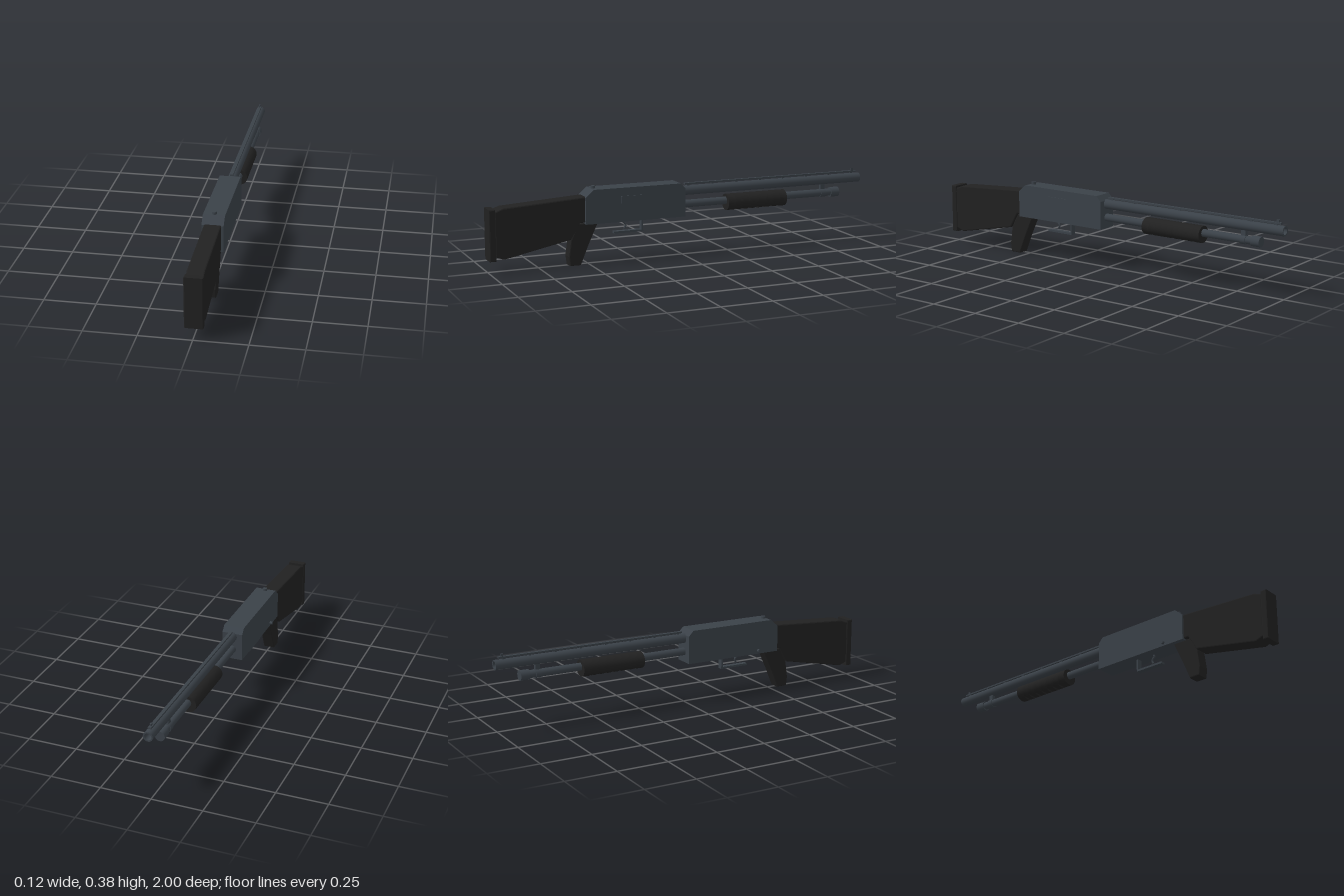
import * as THREE from 'three';

const CX = 0.005; // centre line; the side pin sticks out to the right

export function createModel() {
  const model = new THREE.Group();
  model.name = 'pumpShotgun';
  const gunmetal = new THREE.MeshStandardMaterial({ color: 0x3a4148 });
  gunmetal.name = 'gunmetal';
  const polymer = new THREE.MeshStandardMaterial({ color: 0x212121 });
  polymer.name = 'blackPolymer';

  const add = (name, geometry, material, x = CX, y = 0, z = 0) => {
    const mesh = new THREE.Mesh(geometry, material);
    mesh.name = name;
    mesh.position.set(x, y, z);
    model.add(mesh);
    return mesh;
  };
  const box = (name, mat, w, h, d, y, z, x = CX) =>
    add(name, new THREE.BoxGeometry(w, h, d), mat, x, y, z);

  // Side profile given as [z, y] pairs, extruded across x around its own middle
  const outline = (pts, Type = THREE.Shape) =>
    new Type(pts.map(([z, y]) => new THREE.Vector2(-z, y)));
  const side = (pts, width, bevel = 0, hole = null) => {
    const shape = outline(pts);
    if (hole) shape.holes.push(outline(hole, THREE.Path));
    const g = new THREE.ExtrudeGeometry(shape, {
      depth: width - 2 * bevel, bevelEnabled: bevel > 0, bevelSize: bevel,
      bevelThickness: bevel, bevelOffset: -bevel, bevelSegments: 2,
    });
    g.translate(0, 0, bevel - width / 2);
    g.rotateY(Math.PI / 2);
    return g;
  };
  // Round bar running along z
  const bar = (name, mat, r, y, z0, z1, seg = 24) => {
    const g = new THREE.CylinderGeometry(r, r, Math.abs(z1 - z0), seg).rotateX(Math.PI / 2);
    return add(name, g, mat, CX, y, (z0 + z1) / 2);
  };

  // Receiver: solid core plus an outer skin on the left with the ejection port cut through
  const body = [[0.525, 0.202], [0.525, 0.333], [0.485, 0.369], [0.03, 0.369], [0.005, 0.342], [0.005, 0.202]];
  const port = [[0.35, 0.285], [0.35, 0.336], [0.21, 0.336], [0.21, 0.285]];
  add('receiver', side(body, 0.092), gunmetal, -0.001);
  add('ejectionPortSide', side(body, 0.012, 0, port), gunmetal, 0.051);
  add('boltCover', side([[0.34, 0.29], [0.34, 0.326], [0.215, 0.326], [0.215, 0.29]], 0.004), gunmetal, 0.047);

  // Rear sight button and safety pin
  add('rearSight', new THREE.CylinderGeometry(0.011, 0.012, 0.014, 12), gunmetal, CX, 0.374, 0.47);
  add('safetyPin', new THREE.CylinderGeometry(0.008, 0.008, 0.016, 12).rotateZ(Math.PI / 2),
    gunmetal, -0.052, 0.218, 0.41);

  // Stock, butt pad and pistol grip
  add('stock', side([
    [0.52, 0.336], [0.93, 0.311], [0.972, 0.295], [0.972, 0.08], [0.93, 0.064],
    [0.596, 0.132], [0.55, 0.21], [0.52, 0.21],
  ], 0.082, 0.006), polymer);
  add('buttPad', side([
    [0.968, 0.308], [1, 0.308], [1, 0.059], [0.968, 0.059],
  ], 0.088, 0.005), polymer);
  add('pistolGrip', side([
    [0.455, 0.206], [0.56, 0.206], [0.594, 0.13], [0.606, 0.045], [0.6, 0], [0.545, 0], [0.508, 0.09],
  ], 0.06, 0.005), polymer);

  // Trigger guard and curved trigger
  box('guardFloor', gunmetal, 0.026, 0.01, 0.152, 0.143, 0.291);
  box('guardFront', gunmetal, 0.026, 0.062, 0.009, 0.173, 0.2195);
  const triggerPath = new THREE.CatmullRomCurve3([
    [0.312, 0.205], [0.315, 0.192], [0.302, 0.176], [0.31, 0.156],
  ].map(([z, y]) => new THREE.Vector3(0, y, z)));
  add('trigger', new THREE.TubeGeometry(triggerPath, 12, 0.005, 8), gunmetal);

  // Hollow barrel: outer wall, muzzle ring, bore
  const wall = [[0.024, 0], [0.024, 1.02]];
  const ring = [[0.024, 1.02], [0.017, 1.02]];
  const bore = [[0.017, 1.02], [0.017, 0.85], [0, 0.85]];
  [['barrel', wall], ['muzzleRing', ring], ['bore', bore]].forEach(([name, pts]) => {
    const g = new THREE.LatheGeometry(pts.map(([r, l]) => new THREE.Vector2(r, l)), 24);
    add(name, g.rotateX(-Math.PI / 2), gunmetal, CX, 0.324, 0.02);
  });

  // Sighting rib on small posts, with a front bead
  box('barrelRib', gunmetal, 0.016, 0.008, 0.97, 0.357, -0.495);
  for (let i = 0; i < 8; i++) box('ribPost', gunmetal, 0.01, 0.012, 0.012, 0.35, -0.03 - i * 0.132);
  box('frontSight', gunmetal, 0.007, 0.014, 0.012, 0.366, -0.962);

  // Magazine tube, end cap and barrel bracket
  bar('magazineTube', gunmetal, 0.019, 0.256, 0.02, -0.84);
  bar('magazineCap', gunmetal, 0.025, 0.256, -0.83, -0.877);
  bar('barrelClamp', gunmetal, 0.022, 0.256, -0.772, -0.8);
  box('barrelBracket', gunmetal, 0.018, 0.05, 0.024, 0.288, -0.786);

  // Pump handle: round sleeve flattened underneath, with raised grip ribs
  const sleeve = (name, z0, z1, floor) => {
    const mesh = bar(name, polymer, 0.044, 0.248, z0, z1, 20);
    const g = mesh.geometry;
    const p = g.attributes.position;
    for (let i = 0; i < p.count; i++) p.setY(i, Math.max(floor, p.getY(i) * 0.94));
    g.computeVertexNormals();
  };
  sleeve('pumpHandle', -0.236, -0.562, -0.033);
  sleeve('pumpEnd', -0.236, -0.275, -0.0415);
  sleeve('pumpEnd', -0.523, -0.562, -0.0415);
  for (let i = 0; i < 6; i++) {
    const z = -0.288 - i * 0.04;
    sleeve('pumpRib', z, z - 0.025, -0.0415);
  }
  return model;
}
